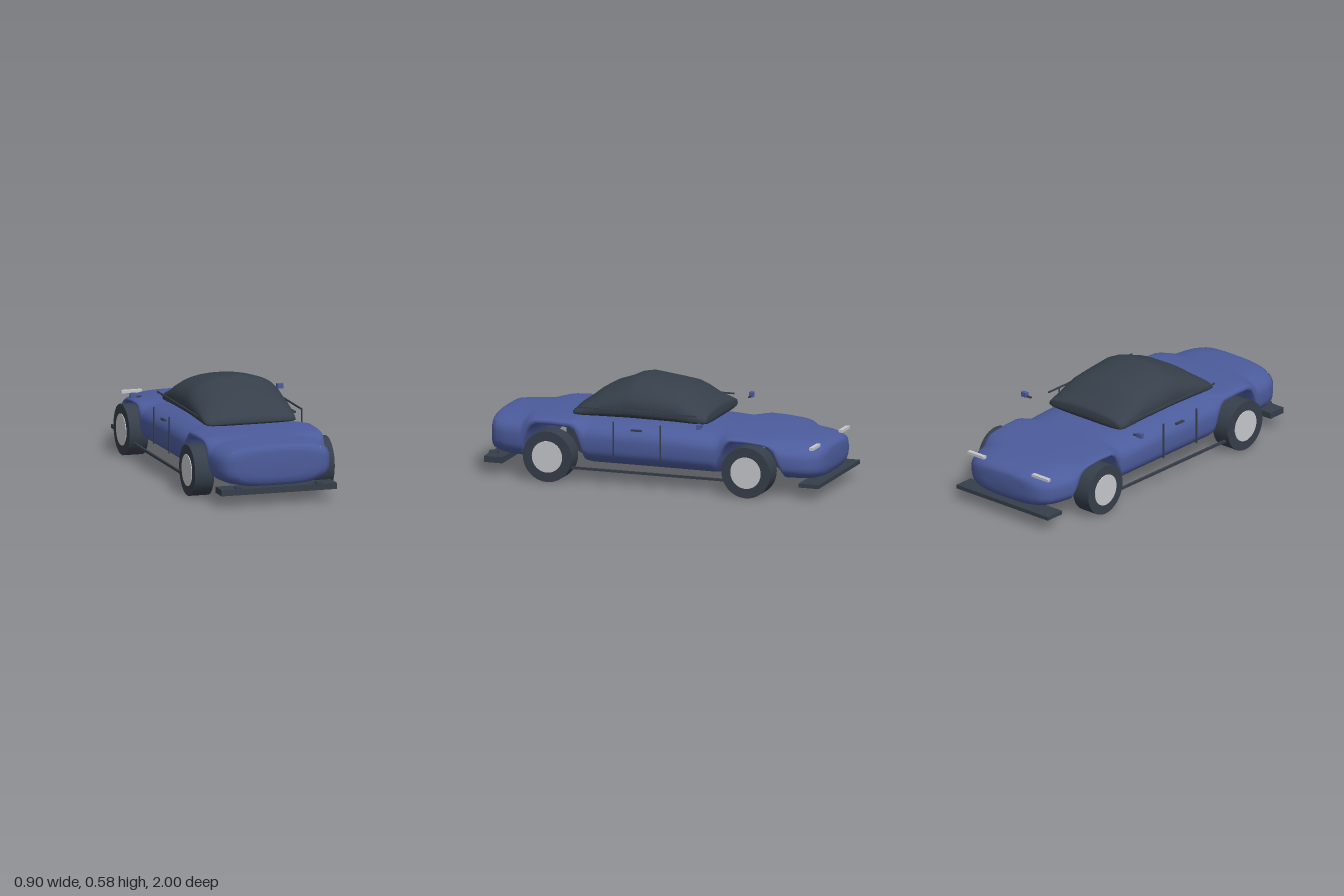
import * as THREE from 'three';

const material = (name, color, side = THREE.FrontSide) => {
  const m = new THREE.MeshStandardMaterial({ color, side });
  m.name = name;
  return m;
};

// Smooth loft through superellipse sections; each station is [z, halfWidth, bottom, top].
function loft(stations, belt, topExp, bottomExp, sides = 64) {
  const pos = [], index = [];
  const power = (v, n) => Math.sign(v) * Math.abs(v) ** (2 / n);
  for (const [z, w, b, t] of stations) {
    const mid = b + (t - b) * belt;
    for (let j = 0; j < sides; j++) {
      const a = (j / sides) * Math.PI * 2, s = Math.sin(a), c = Math.cos(a);
      const n = s >= 0 ? topExp : bottomExp;
      pos.push(w * power(c, n), mid + (s >= 0 ? t - mid : mid - b) * power(s, n), z);
    }
  }
  const last = stations.length - 1;
  for (let i = 0; i < last; i++) {
    for (let j = 0; j < sides; j++) {
      const k = (j + 1) % sides, p = i * sides, q = p + sides;
      index.push(p + j, p + k, q + k, p + j, q + k, q + j);
    }
  }
  // End caps
  [0, last].forEach((i) => {
    const [z, , b, t] = stations[i], centre = pos.length / 3, p = i * sides;
    pos.push(0, b + (t - b) * belt, z);
    for (let j = 0; j < sides; j++) {
      const k = (j + 1) % sides;
      if (i === 0) index.push(centre, p + k, p + j);
      else index.push(centre, p + j, p + k);
    }
  });
  const g = new THREE.BufferGeometry();
  g.setAttribute('position', new THREE.Float32BufferAttribute(pos, 3));
  g.setIndex(index);
  g.computeVertexNormals();
  return g;
}

export function createModel() {
  const car = new THREE.Group();
  car.name = 'car';
  const blue = material('bodyBlue', 0x4c5c9c);
  const dark = material('darkTrim', 0x363f4a);
  const light = material('lightGrey', 0xc6c8cc);

  const add = (name, geometry, mat, x = 0, y = 0, z = 0) => {
    const mesh = new THREE.Mesh(geometry, mat);
    mesh.name = name;
    mesh.position.set(x, y, z);
    car.add(mesh);
    return mesh;
  };
  const box = (name, mat, size, at) => add(name, new THREE.BoxGeometry(...size), mat, ...at);

  // Body shell, with the underside lifted over both axles
  add('body', loft([
    [-0.988, 0.14, 0.15, 0.25], [-0.98, 0.21, 0.12, 0.268], [-0.96, 0.26, 0.1, 0.28],
    [-0.92, 0.3, 0.088, 0.292], [-0.87, 0.325, 0.085, 0.302], [-0.785, 0.347, 0.085, 0.31],
    [-0.765, 0.35, 0.12, 0.311], [-0.735, 0.353, 0.22, 0.313], [-0.705, 0.355, 0.265, 0.315],
    [-0.66, 0.356, 0.28, 0.32], [-0.57, 0.357, 0.288, 0.328], [-0.48, 0.36, 0.284, 0.333],
    [-0.45, 0.361, 0.255, 0.335], [-0.42, 0.363, 0.17, 0.337], [-0.395, 0.365, 0.09, 0.338],
    [-0.36, 0.366, 0.085, 0.34], [-0.2, 0.367, 0.085, 0.35], [0, 0.367, 0.085, 0.36],
    [0.2, 0.366, 0.085, 0.362], [0.37, 0.364, 0.085, 0.36], [0.4, 0.362, 0.09, 0.36],
    [0.425, 0.361, 0.18, 0.36], [0.45, 0.36, 0.26, 0.36], [0.48, 0.358, 0.29, 0.36],
    [0.6, 0.354, 0.298, 0.36], [0.68, 0.35, 0.296, 0.357], [0.715, 0.348, 0.275, 0.354],
    [0.745, 0.346, 0.21, 0.352], [0.765, 0.345, 0.12, 0.35], [0.785, 0.343, 0.088, 0.348],
    [0.87, 0.335, 0.092, 0.344], [0.93, 0.318, 0.1, 0.34], [0.965, 0.29, 0.11, 0.337],
    [0.98, 0.25, 0.13, 0.325], [0.987, 0.19, 0.16, 0.3],
  ], 0.5, 3, 3), blue);

  // Dark glasshouse and roof
  add('cabin', loft([
    [-0.305, 0.245, 0.372, 0.42], [-0.297, 0.266, 0.362, 0.436], [-0.27, 0.274, 0.357, 0.45],
    [-0.21, 0.276, 0.355, 0.482], [-0.16, 0.278, 0.355, 0.518], [-0.11, 0.279, 0.355, 0.543],
    [-0.04, 0.28, 0.355, 0.555], [0.04, 0.28, 0.355, 0.566], [0.14, 0.28, 0.355, 0.579],
    [0.19, 0.279, 0.355, 0.57], [0.25, 0.278, 0.355, 0.542], [0.33, 0.276, 0.355, 0.515],
    [0.4, 0.273, 0.355, 0.475], [0.45, 0.27, 0.357, 0.435], [0.485, 0.263, 0.36, 0.412],
    [0.5, 0.24, 0.366, 0.395],
  ], 0.3, 2.2, 4), dark);

  // Bumpers and front fog lamps
  box('frontBumper', dark, [0.68, 0.035, 0.11], [0, 0.086, 0.94]);
  box('rearBumper', dark, [0.68, 0.022, 0.12], [0, 0.081, -0.94]);

  const tyre = new THREE.CylinderGeometry(0.145, 0.145, 0.112, 48).rotateZ(Math.PI / 2);
  const hub = new THREE.CylinderGeometry(0.09, 0.09, 0.12, 40).rotateZ(Math.PI / 2);
  const fog = new THREE.CylinderGeometry(0.018, 0.018, 0.05, 20).rotateX(Math.PI / 2);
  // Headlamp outline with a slanted inner edge
  const lampShape = new THREE.Shape([[0.258, 0.283], [0.26, 0.306], [0.2, 0.306], [0.22, 0.283]]
    .map(([x, y]) => new THREE.Vector2(x, y)));

  for (const s of [1, -1]) {
    const side = s > 0 ? 'left' : 'right';
    // Wheels
    for (const [end, z] of [['Front', 0.592], ['Rear', -0.592]]) {
      add(side + end + 'Tyre', tyre, dark, s * 0.355, 0.145, z);
      add(side + end + 'Hub', hub, light, s * 0.355, 0.145, z);
    }
    // Lamps
    add(side + 'FogLamp', fog, dark, s * 0.237, 0.1, 0.973);
    const outline = s > 0 ? lampShape
      : new THREE.Shape(lampShape.getPoints().map((p) => new THREE.Vector2(-p.x, p.y)));
    add(side + 'Headlamp', new THREE.ExtrudeGeometry(outline, { depth: 0.018, bevelEnabled: false }),
      light, 0, 0, 0.936);
    box(side + 'TailLamp', light, [0.12, 0.016, 0.024], [s * 0.24, 0.285, -0.942]);
    // Mirror and stalk
    box(side + 'Mirror', blue, [0.036, 0.028, 0.022], [s * 0.432, 0.394, -0.32]);
    box(side + 'MirrorStalk', dark, [0.034, 0.009, 0.01], [s * 0.4, 0.387, -0.32]);
    // Door seams, handle, sill and roof rail
    for (const z of [0.205, -0.075]) {
      box(side + 'DoorSeam', dark, [0.006, 0.21, 0.008], [s * 0.389, 0.267, z]);
    }
    box(side + 'DoorHandle', dark, [0.016, 0.01, 0.062], [s * 0.381, 0.33, 0.07]);
    box(side + 'Sill', dark, [0.012, 0.014, 1], [s * 0.378, 0.087, 0]);
    box(side + 'RoofRail', dark, [0.008, 0.008, 0.71], [s * 0.308, 0.421, 0.095]);
  }
  return car;
}
